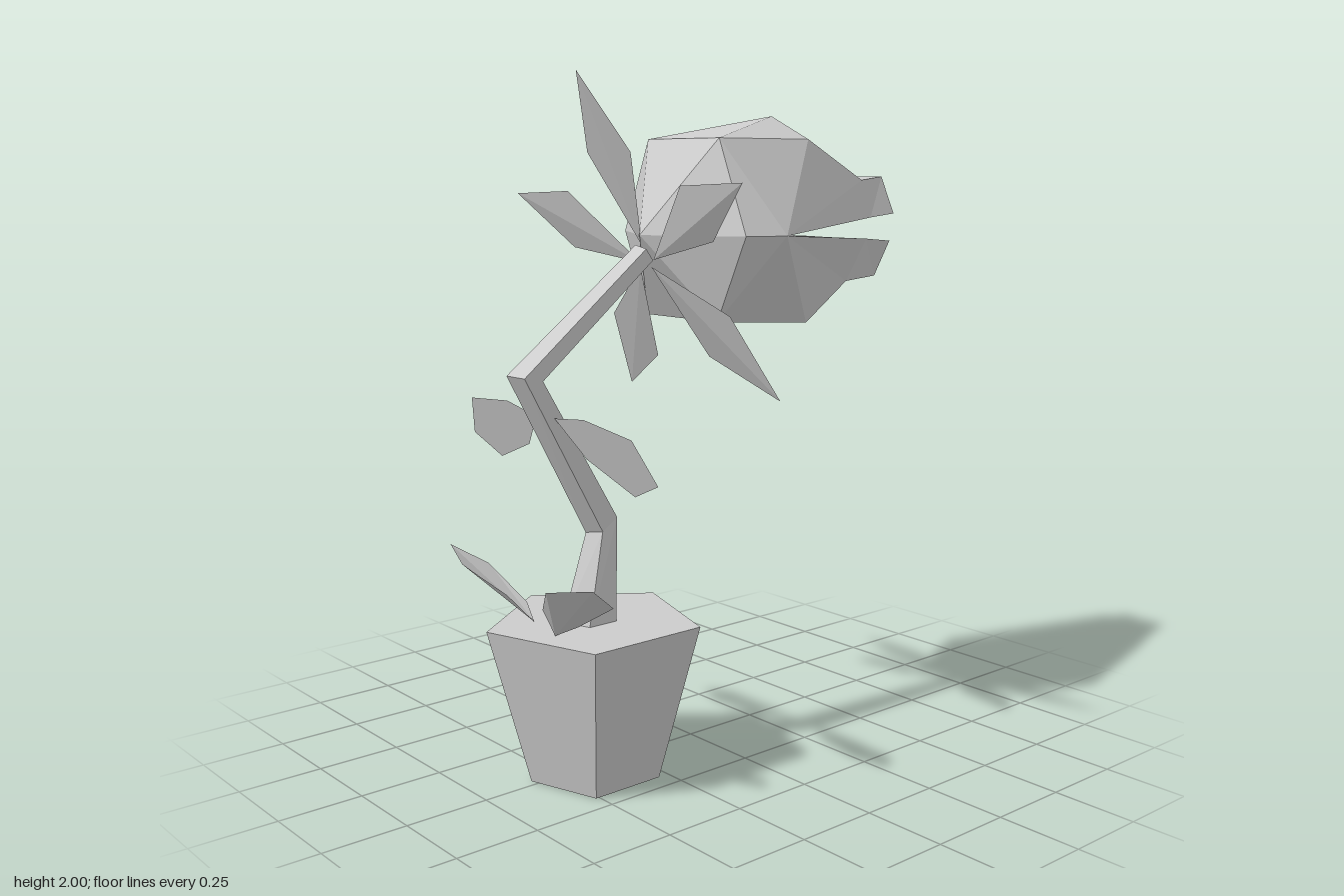
import * as THREE from 'three';

const CX = 0.035; // centre line of pot and head

const solid = new THREE.MeshStandardMaterial({ color: 0xcccccc, flatShading: true });
const thin = new THREE.MeshStandardMaterial({ color: 0xcccccc, flatShading: true, side: THREE.DoubleSide });

// Faceted mesh from polygons, each a loop of [x, y, z] corners
function facets(name, polygons, material = solid) {
  const pos = [];
  for (const p of polygons) {
    for (let i = 1; i < p.length - 1; i++) pos.push(...p[0], ...p[i], ...p[i + 1]);
  }
  const geo = new THREE.BufferGeometry();
  geo.setAttribute('position', new THREE.Float32BufferAttribute(pos, 3));
  geo.computeVertexNormals();
  const mesh = new THREE.Mesh(geo, material);
  mesh.name = name;
  return mesh;
}

// Five-sided tapered pot with its soil surface
function makePot() {
  const geo = new THREE.CylinderGeometry(0.315, 0.193, 0.46, 5, 1, false, -Math.PI / 2);
  const pot = new THREE.Mesh(geo, solid);
  pot.position.set(CX, 0.23, 0.397);
  pot.name = 'pot';
  return pot;
}

// Crooked five-sided stem; each ring: y, z, radius, and tilt (y, z) of its front
function makeStem() {
  const rings = [
    [0.46, 0.405, 0.08, 0, 1],
    [0.74, 0.361, 0.053, -0.55, 0.83],
    [1.176, 0.612, 0.052, 0.2, 0.98],
    [1.495, 0.2, 0.035, 0.8, 0.6],
  ].map(([y, z, r, dy, dz]) => [0, 1, 2, 3, 4].map((k) => {
    const a = Math.PI + (k * Math.PI * 2) / 5;
    const s = r * Math.sin(a);
    return [0.027 + r * Math.cos(a), y + s * dy, z + s * dz];
  }));
  const faces = [[...rings[3]].reverse()];
  for (let i = 0; i < 3; i++) {
    for (let k = 0; k < 5; k++) {
      const n = (k + 1) % 5;
      faces.push([rings[i][n], rings[i][k], rings[i + 1][k], rings[i + 1][n]]);
    }
  }
  return facets('stem', faces);
}

// Flower head with open jaws: half is described, the other half mirrored
function makeHead() {
  const neck = [0, 1.55, 0.22];
  const top = [0.157, 1.82, 0.06], side = [0.27, 1.55, 0.06], low = [0.157, 1.305, 0.065];
  const corner = [0.315, 1.55, -0.055];
  const ridge = [0, 1.89, -0.29], brow = [0.157, 1.82, -0.29];
  const n1 = [0.112, 1.7, -0.57], n2 = [0.085, 1.71, -0.69];
  const n3 = [0.117, 1.595, -0.715], n4 = [0.125, 1.585, -0.6];
  const chin = [0.157, 1.28, -0.29];
  const l1 = [0.127, 1.52, -0.58], l2 = [0.12, 1.51, -0.695];
  const l3 = [0.09, 1.4, -0.66], l4 = [0.1, 1.39, -0.52];
  const mid = (v) => [0, v[1], v[2]];

  const back = [
    [neck, side, top], [neck, top, mid(top)], [neck, low, side], [neck, mid(low), low],
  ];
  const upper = [
    [side, corner, top], [corner, brow, top], [corner, n1, brow], [corner, n4, n1],
    [n4, n3, n2, n1], [top, brow, ridge], [top, ridge, mid(top)], [brow, n1, ridge],
    [ridge, n1, mid(n1)], [n1, n2, mid(n2), mid(n1)], [n2, n3, mid(n3), mid(n2)],
    [mid(corner), mid(n3), n3, n4, corner],
  ];
  const lower = [
    [side, low, corner], [low, chin, corner], [chin, l4, corner], [corner, l4, l1],
    [l1, l4, l3, l2], [low, mid(low), mid(chin), chin], [chin, mid(chin), mid(l4), l4],
    [l4, mid(l4), mid(l3), l3], [l2, l3, mid(l3), mid(l2)],
    [mid(corner), corner, l1, l2, mid(l2)],
  ];
  const mirrored = (faces) => faces.concat(
    faces.map((f) => f.map(([x, y, z]) => [-x, y, z]).reverse()));

  const head = new THREE.Group();
  head.name = 'flowerHead';
  head.add(
    facets('headBack', mirrored(back)),
    facets('upperJaw', mirrored(upper)),
    facets('lowerJaw', mirrored(lower)),
  );
  head.position.x = CX;
  return head;
}

// Five four-cornered petals around the neck: base, side, tip, side
function makePetals() {
  const group = new THREE.Group();
  group.name = 'petals';
  const petals = {
    topPetal: [[0.02, 1.52, 0.2], [0.104, 1.78, 0.305], [0, 2, 0.41], [-0.093, 1.78, 0.305]],
    leftPetal: [[0.06, 1.48, 0.19], [0.315, 1.54, 0.19], [0.518, 1.7, 0.27], [0.26, 1.69, 0.26]],
    rightPetal: [[0, 1.47, 0.19], [-0.33, 1.5, 0.18], [-0.528, 1.66, 0.25], [-0.26, 1.67, 0.255]],
    lowerLeftPetal: [[0.05, 1.46, 0.19], [0.135, 1.2, 0.045], [0.37, 1.09, -0.015], [0.285, 1.33, 0.1]],
    lowerRightPetal: [[0, 1.46, 0.19], [-0.11, 1.18, 0.035], [-0.315, 1.07, -0.025], [-0.255, 1.3, 0.09]],
  };
  for (const [name, p] of Object.entries(petals)) {
    // fold along the line from base to tip
    group.add(facets(name, [p], thin));
  }
  return group;
}

// Six-cornered leaves: one pair on the stem, one pair rising from the soil
function makeLeaves() {
  const group = new THREE.Group();
  group.name = 'leaves';
  // stem leaves lie in a plane leaning with the stem
  const lean = (pts) => pts.map(([x, y]) => [x, y, 0.475 + (y - 0.88) * 0.39]);
  const leaves = {
    leftStemLeaf: lean([[0.07, 1.065], [0.16, 0.96], [0.33, 0.88], [0.45, 0.93], [0.4, 1.05], [0.21, 1.08]]),
    rightStemLeaf: lean([[-0.02, 1.06], [-0.11, 0.965], [-0.29, 0.9], [-0.4, 0.96], [-0.34, 1.075], [-0.145, 1.09]]),
    leftSoilLeaf: [[0.09, 0.46, 0.57], [0.17, 0.5, 0.55], [0.33, 0.59, 0.55],
      [0.36, 0.66, 0.64], [0.22, 0.635, 0.69], [0.11, 0.55, 0.625]],
    rightSoilLeaf: [[-0.055, 0.46, 0.54], [-0.12, 0.5, 0.52], [-0.255, 0.595, 0.56],
      [-0.285, 0.665, 0.67], [-0.15, 0.64, 0.715], [-0.07, 0.55, 0.62]],
  };
  for (const [name, p] of Object.entries(leaves)) group.add(facets(name, [p], thin));
  return group;
}

export function createModel() {
  const model = new THREE.Group();
  model.name = 'pottedSnappingPlant';
  model.add(makePot(), makeStem(), makeHead(), makePetals(), makeLeaves());
  return model;
}
